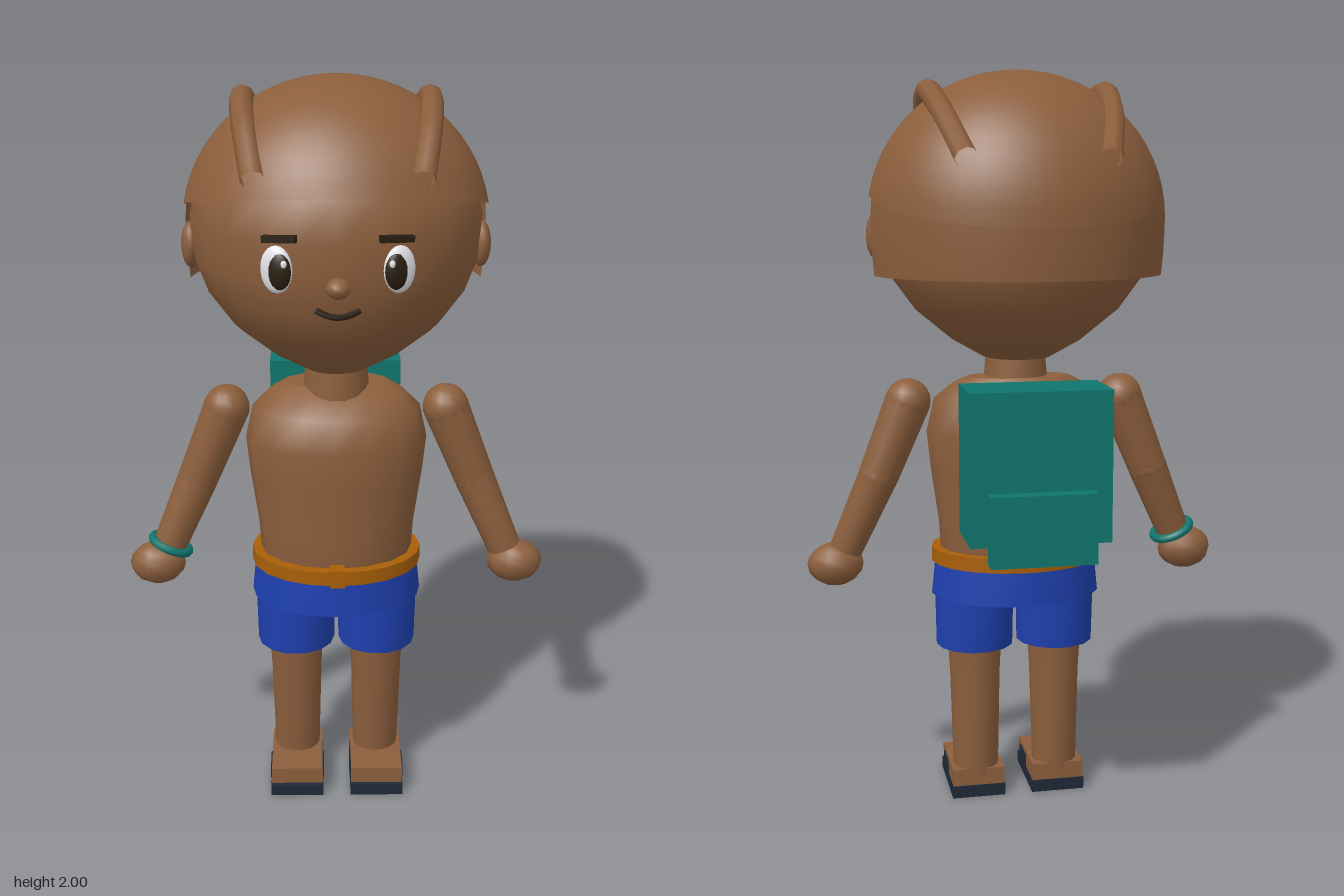
import * as THREE from 'three';

const mat = (name, color, side = THREE.FrontSide) => {
  const m = new THREE.MeshStandardMaterial({ color, side });
  m.name = name;
  return m;
};

// Closed-loop skin over elliptical rings [y, rx, rz, cx, cz]
function loft(rings, sides = 16, caps = true) {
  const pos = [], idx = [];
  const ring = ([y, rx, rz, cx = 0, cz = 0]) => {
    const start = pos.length / 3;
    for (let j = 0; j < sides; j++) {
      const a = (j / sides) * Math.PI * 2;
      pos.push(cx + rx * Math.cos(a), y, cz + rz * Math.sin(a));
    }
    return start;
  };
  const starts = rings.map(ring);
  for (let i = 0; i < rings.length - 1; i++) {
    for (let j = 0; j < sides; j++) {
      const k = (j + 1) % sides;
      const a = starts[i] + j, b = starts[i] + k, c = starts[i + 1] + j, d = starts[i + 1] + k;
      idx.push(a, c, b, b, c, d);
    }
  }
  if (caps) {
    [rings[0], rings[rings.length - 1]].forEach((r, top) => {
      const s = ring(r), c = pos.length / 3;
      pos.push(r[3] || 0, r[0], r[4] || 0);
      for (let j = 0; j < sides; j++) {
        const k = (j + 1) % sides;
        if (top) idx.push(c, s + k, s + j);
        else idx.push(c, s + j, s + k);
      }
    });
  }
  return surface(pos, idx);
}

function surface(pos, idx) {
  const g = new THREE.BufferGeometry();
  g.setAttribute('position', new THREE.Float32BufferAttribute(pos, 3));
  g.setIndex(idx);
  g.computeVertexNormals();
  return g;
}

// Patch of the hair shell between two azimuths and two polar-angle rules
function hairPatch(a0, a1, from, to, cols, rows) {
  const pos = [], idx = [];
  for (let i = 0; i <= rows; i++) {
    for (let j = 0; j <= cols; j++) {
      const a = a0 + ((a1 - a0) * j) / cols;
      const phi = from(a) + ((to(a) - from(a)) * i) / rows;
      const u = Math.cos(phi);
      const r = u > 0 ? Math.sin(phi) : Math.sqrt(1 - u * u / 4);
      pos.push(0.395 * r * Math.cos(a), 1.62 + 0.38 * u, 0.365 * r * Math.sin(a));
      if (i < rows && j < cols) {
        const p = i * (cols + 1) + j, q = p + cols + 1;
        idx.push(p, p + 1, q, p + 1, q + 1, q);
      }
    }
  }
  return surface(pos, idx);
}

// Slanted front hairline
function hairline(a) {
  let phi = 1.4;
  for (let i = 0; i < 8; i++) phi = Math.acos((0.06 + 0.0796 * Math.sin(a) * Math.sin(phi)) / 0.38);
  return phi;
}

export function createModel() {
  const skin = mat('brown skin', 0x8b5e3c);
  const hair = mat('brown hair', 0x8b5e3c, THREE.DoubleSide);
  const teal = mat('teal', 0x0f766e);
  const blue = mat('blue cloth', 0x1e40af, THREE.DoubleSide);
  const tan = mat('orange belt', 0xa85f08);
  const dark = mat('dark sole', 0x1f2937);
  const white = mat('eye white', 0xe5e7eb);
  const ink = mat('dark feature', 0x2a1f10);

  const model = new THREE.Group();
  model.name = 'figure';
  const add = (name, geo, material, x = 0, y = 0, z = 0) => {
    const m = new THREE.Mesh(geo, material);
    m.name = name;
    m.position.set(x, y, z);
    model.add(m);
    return m;
  };
  const box = (name, material, x0, x1, y0, y1, z0, z1) =>
    add(name, new THREE.BoxGeometry(x1 - x0, y1 - y0, z1 - z0), material,
      (x0 + x1) / 2, (y0 + y1) / 2, (z0 + z1) / 2);
  const ball = (name, material, x, y, z, rx, ry, rz, w = 16, h = 12) => {
    const m = add(name, new THREE.SphereGeometry(1, w, h), material, x, y, z);
    m.scale.set(rx, ry, rz);
    return m;
  };
  const UP = new THREE.Vector3(0, 1, 0);
  const rod = (name, material, a, b, ra, rb) => {
    const p = new THREE.Vector3(...a), d = new THREE.Vector3(...b).sub(p);
    const m = add(name, new THREE.CylinderGeometry(rb, ra, d.length(), 12), material);
    m.position.copy(p).addScaledVector(d, 0.5);
    m.quaternion.setFromUnitVectors(UP, d.normalize());
    return m;
  };

  // Head, neck and torso
  add('head', loft([
    [1.252, 0.09, 0.1], [1.3, 0.175, 0.18], [1.38, 0.272, 0.28], [1.47, 0.338, 0.325],
    [1.55, 0.368, 0.341], [1.65, 0.376, 0.344], [1.75, 0.355, 0.328], [1.88, 0.25, 0.23],
  ], 24), skin);
  add('neck', loft([[1.17, 0.09, 0.09, 0, 0.015], [1.28, 0.08, 0.08, 0, 0.015]], 14), skin);
  add('torso', loft([
    [0.61, 0.19, 0.14, 0, 0.02], [0.7, 0.208, 0.157, 0, 0.02], [0.8, 0.214, 0.157, 0, 0.02],
    [0.95, 0.235, 0.16, 0, 0.02], [1.05, 0.245, 0.161, 0, 0.02], [1.14, 0.225, 0.148, 0, 0.015],
    [1.18, 0.18, 0.1, 0, 0.0], [1.2, 0.14, 0.072, 0, -0.01],
  ], 16), skin);

  // Hair shell: crown plus a longer back section
  const step = 0.137;
  add('hairCrown', hairPatch(0, Math.PI * 2, () => 0, hairline, 48, 14), hair);
  add('hairBack', hairPatch(Math.PI + step, Math.PI * 2 - step, hairline, () => 1.968, 24, 6), hair);

  // Face
  ball('nose', skin, 0, 1.548, 0.355, 0.031, 0.025, 0.031, 10, 8);
  const smile = new THREE.QuadraticBezierCurve3(
    new THREE.Vector3(-0.052, 1.488, 0.326), new THREE.Vector3(0, 1.457, 0.346),
    new THREE.Vector3(0.052, 1.488, 0.326));
  add('mouth', new THREE.TubeGeometry(smile, 10, 0.008, 6), ink);

  for (const s of [1, -1]) {
    // Eyes, brows, ears
    const yaw = s * 0.35;
    ball('eyeWhite', white, s * 0.146, 1.585, 0.315, 0.041, 0.058, 0.018).rotation.y = yaw;
    ball('iris', ink, s * 0.14, 1.583, 0.324, 0.031, 0.046, 0.015).rotation.y = yaw;
    ball('eyeGlint', white, s * 0.128, 1.602, 0.338, 0.008, 0.01, 0.005, 8, 6);
    const brow = add('brow', new THREE.BoxGeometry(0.085, 0.016, 0.02), ink, s * 0.138, 1.66, 0.322);
    brow.rotation.set(0, s * 0.35, s * -0.06);
    ball('ear', skin, s * 0.375, 1.575, 0.005, 0.025, 0.06, 0.043);

    // Raised braid running front to back
    const path = new THREE.CatmullRomCurve3([
      [0.2, 1.79, 0.28], [0.225, 1.9, 0.15], [0.235, 1.945, 0], [0.22, 1.89, -0.15], [0.18, 1.77, -0.3],
    ].map(([x, y, z]) => new THREE.Vector3(s * x, y, z)));
    add('braid', new THREE.TubeGeometry(path, 16, 0.03, 8), hair);

    // Arm
    const shoulder = [s * 0.295, 1.133, 0.017], elbow = [s * 0.378, 0.93, 0.018], wrist = [s * 0.468, 0.725, 0.042];
    ball('shoulder', skin, ...shoulder, 0.062, 0.062, 0.062);
    rod('upperArm', skin, shoulder, elbow, 0.062, 0.055);
    ball('elbow', skin, ...elbow, 0.055, 0.055, 0.055);
    rod('forearm', skin, elbow, wrist, 0.055, 0.046);
    ball('hand', skin, s * 0.498, 0.683, 0.043, 0.077, 0.06, 0.06, 10, 8);

    // Shorts leg, bare leg and sandal
    const x = s * 0.114;
    add('shortsLeg', loft([[0.44, 0.108, 0.108, x, 0.032], [0.64, 0.112, 0.115, x, 0.03]], 14), blue);
    add('leg', loft([
      [0.06, 0.064, 0.058, x, 0.022], [0.35, 0.071, 0.069, x, 0.031], [0.46, 0.077, 0.078, x, 0.032],
    ], 14), skin);
    box('foot', skin, x - 0.073, x + 0.073, 0.03, 0.082, -0.033, 0.173);
    box('sole', dark, x - 0.075, x + 0.075, 0, 0.034, -0.037, 0.185);
    box('sandalStrap', dark, x - 0.077, x + 0.077, 0.03, 0.07, 0.066, 0.142);
  }

  // Bracelet on the right wrist only
  const bracelet = add('bracelet', new THREE.TorusGeometry(0.054, 0.012, 8, 24), teal, -0.46, 0.737, 0.04);
  bracelet.quaternion.setFromUnitVectors(new THREE.Vector3(0, 0, 1),
    new THREE.Vector3(0.4, 0.91, -0.1).normalize());

  // Shorts hip, belt and buckle
  add('shortsHip', loft([[0.592, 0.235, 0.183, 0, 0.022], [0.69, 0.225, 0.177, 0, 0.022]], 20, false), blue);
  add('belt', loft([[0.685, 0.234, 0.181, 0, 0.022], [0.725, 0.234, 0.181, 0, 0.022]], 20), tan);
  box('buckle', tan, -0.02, 0.02, 0.692, 0.742, 0.19, 0.228);

  // Backpack
  box('backpack', teal, -0.183, 0.183, 0.81, 1.203, -0.345, -0.163);
  box('backpackPocket', teal, -0.137, 0.137, 0.765, 0.948, -0.385, -0.34);

  return model;
}
